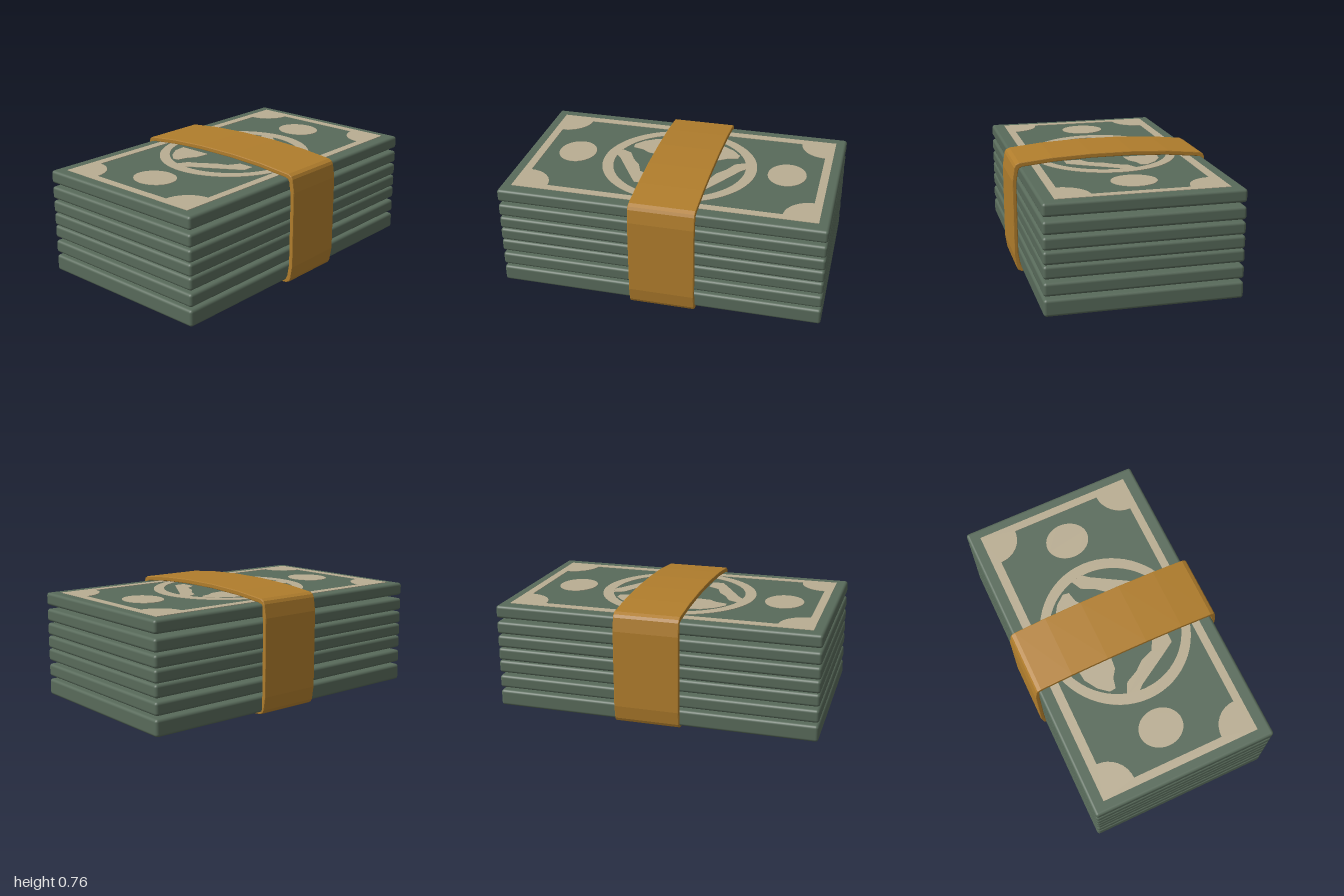
import * as THREE from 'three';
import { RoundedBoxGeometry } from 'three/addons/geometries/RoundedBoxGeometry.js';

const green = new THREE.MeshStandardMaterial({ name: 'green paper', color: 0x586a5a });
const tan = new THREE.MeshStandardMaterial({ name: 'tan print', color: 0xb9ad92 });
const orange = new THREE.MeshStandardMaterial({ name: 'orange band', color: 0xb07d2c });

const CX = -0.008; // stack centre in x
const TOP = 0.704, BOTTOM = 0.05;

function toShape(points) {
  return new THREE.Shape(points.map(([x, z]) => new THREE.Vector2(x, z)));
}

function ellipse(x, z, rx, rz) {
  return new THREE.Shape().absellipse(x, z, rx, rz, 0, Math.PI * 2, false, 0);
}

// U-shaped half of the printed border with quarter-disc corners; s = end of the note
function borderHalf(s, zStart) {
  const pts = [[-0.515, zStart], [-0.515, 0.935], [0.495, 0.935], [0.495, zStart], [0.445, zStart]];
  const n = 8, r = 0.165;
  for (let i = 0; i <= n; i++) {
    const a = (i / n) * Math.PI / 2;
    pts.push([0.445 - r * Math.sin(a), 0.885 - r * Math.cos(a)]);
  }
  for (let i = 0; i <= n; i++) {
    const a = (i / n) * Math.PI / 2;
    pts.push([-0.46 + r * Math.cos(a), 0.885 - r * Math.sin(a)]);
  }
  pts.push([-0.46, zStart]);
  return toShape(pts.map(([x, z]) => [x, z * s]));
}

// Thin printed plate whose upper face is at height y
function print(name, shape, y) {
  const geo = new THREE.ExtrudeGeometry(shape, { depth: 0.006, bevelEnabled: false, curveSegments: 32 });
  geo.rotateX(Math.PI / 2);
  const mesh = new THREE.Mesh(geo, tan);
  mesh.name = name;
  mesh.position.y = y;
  return mesh;
}

export function createModel() {
  const group = new THREE.Group();
  group.name = 'banknoteStack';

  // Stacked bundles of notes
  const layers = [[BOTTOM, 0.152], [0.17, 0.25], [0.27, 0.348], [0.352, 0.43],
    [0.436, 0.512], [0.524, 0.602], [0.625, TOP]];
  layers.forEach(([y0, y1], i) => {
    const note = new THREE.Mesh(new RoundedBoxGeometry(1.165, y1 - y0, 2, 3, 0.018), green);
    note.name = `noteBundle${i + 1}`;
    note.position.set(CX, (y0 + y1) / 2, 0);
    group.add(note);
  });

  // Border and end discs on the top and bottom faces
  for (const [side, y, zStart] of [['top', TOP + 0.003, 0], ['bottom', BOTTOM + 0.003, 0.32]]) {
    for (const s of [-1, 1]) {
      group.add(print(`${side}Border`, borderHalf(s, zStart), y));
      group.add(print(`${side}Disc`, ellipse(-0.02, 0.68 * s, 0.137, 0.12), y));
    }
  }

  // Central ring on the top face
  const ring = ellipse(0, 0, 0.46, 0.49);
  ring.holes.push(new THREE.Path().absellipse(0, 0, 0.405, 0.42, 0, Math.PI * 2, true, 0));
  group.add(print('topRing', ring, TOP + 0.003));

  // Curved emblem strokes inside the ring, mirrored either side of the band
  const blob = [[-0.32, 0.14], [-0.31, 0.22], [-0.26, 0.3], [-0.2, 0.35], [-0.16, 0.345],
    [-0.145, 0.28], [-0.11, 0.23], [-0.1, 0.14]];
  const stroke = [[-0.12, 0.42], [-0.08, 0.34], [0, 0.3], [0.06, 0.25], [0.14, 0.22],
    [0.18, 0.15], [0.28, 0.15], [0.28, 0.22], [0.2, 0.27], [0.1, 0.33], [0, 0.39], [-0.04, 0.425]];
  for (const s of [-1, 1]) {
    for (const pts of [blob, stroke]) {
      group.add(print('topEmblem', toShape(pts.map(([x, z]) => [x, z * s])), TOP + 0.0025));
    }
  }

  // Bowed paper band wrapped around the stack
  const quarter = [[0.617, 0.24], [0.604, 0.322], [0.596, 0.338], [0.575, 0.349], [0.37, 0.37], [0.13, 0.381]];
  const flip = (sx, sy) => quarter.map(([x, y]) => [x * sx, y * sy]);
  const outline = [...flip(1, 1), ...flip(-1, 1).reverse(), ...flip(-1, -1), ...flip(1, -1).reverse()];
  const bevel = 0.005;
  const profile = toShape(outline.map(([x, y]) => [x * 0.993, y * 0.988]));
  profile.holes.push(toShape(outline.map(([x, y]) => [x * 0.967, y * 0.94])));
  const bandGeo = new THREE.ExtrudeGeometry(profile, {
    depth: 0.405 - 2 * bevel, bevelEnabled: true, bevelThickness: bevel, bevelSize: bevel, bevelSegments: 2,
  });
  const band = new THREE.Mesh(bandGeo, orange);
  band.name = 'paperBand';
  band.position.set(0, 0.383, -0.235 + bevel);
  group.add(band);

  return group;
}
